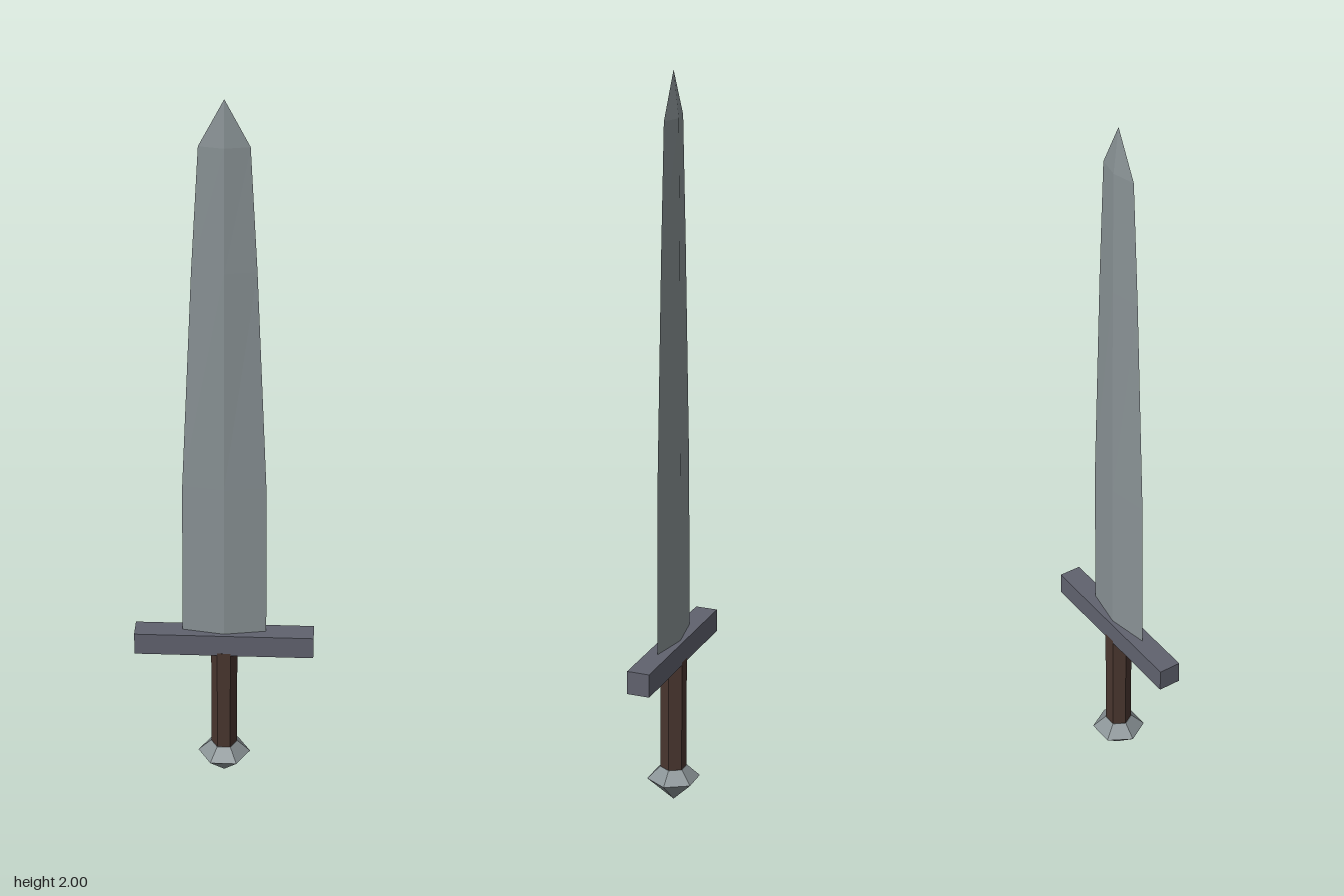
import * as THREE from 'three';

const steel = new THREE.MeshStandardMaterial({ color: 0x899295 });
steel.name = 'steel';
const iron = new THREE.MeshStandardMaterial({ color: 0x60626e });
iron.name = 'dark iron';
const leather = new THREE.MeshStandardMaterial({ color: 0x49362f });
leather.name = 'brown leather';

// Give every face its own normal for a low-poly look
function faceted(geometry) {
  const flat = geometry.index ? geometry.toNonIndexed() : geometry;
  flat.computeVertexNormals();
  return flat;
}

// Diamond cross-sections [y, half width, half depth], joined from bottom to top
function bladeGeometry(sections) {
  const rings = sections.map(([y, w, d]) => [[w, y, 0], [0, y, d], [-w, y, 0], [0, y, -d]]);
  const positions = [];
  for (let i = 0; i < rings.length - 1; i++) {
    for (let j = 0; j < 4; j++) {
      const k = (j + 1) % 4;
      const [a, b, c, d] = [rings[i][j], rings[i][k], rings[i + 1][k], rings[i + 1][j]];
      positions.push(...a, ...d, ...b);
      if (i < rings.length - 2) positions.push(...b, ...d, ...c);
    }
  }
  const geometry = new THREE.BufferGeometry();
  geometry.setAttribute('position', new THREE.Float32BufferAttribute(positions, 3));
  return geometry;
}

export function createModel() {
  const group = new THREE.Group();
  group.name = 'sword';

  function add(name, geometry, material, y = 0) {
    const mesh = new THREE.Mesh(faceted(geometry), material);
    mesh.name = name;
    mesh.position.y = y;
    group.add(mesh);
  }

  // Tapering blade with a central ridge and a short point
  add('blade', bladeGeometry([
    [0.47, 0.115, 0.02],
    [0.93, 0.111, 0.019],
    [1.55, 0.083, 0.017],
    [1.88, 0.064, 0.014],
    [2.0, 0, 0],
  ]), steel);

  // Straight crossguard
  add('crossguard', new THREE.BoxGeometry(0.49, 0.064, 0.062), iron, 0.445);

  // Six-sided grip
  add('grip', new THREE.CylinderGeometry(0.036, 0.036, 0.32, 6, 1, false, Math.PI / 6), leather, 0.26);

  // Six-sided pommel, pointed at the bottom and closed at the top
  const profile = [[0, 0.003], [0.073, 0.07], [0.037, 0.104], [0, 0.104]]
    .map(([r, y]) => new THREE.Vector2(r, y));
  add('pommel', new THREE.LatheGeometry(profile, 6, Math.PI / 6), steel);

  return group;
}
